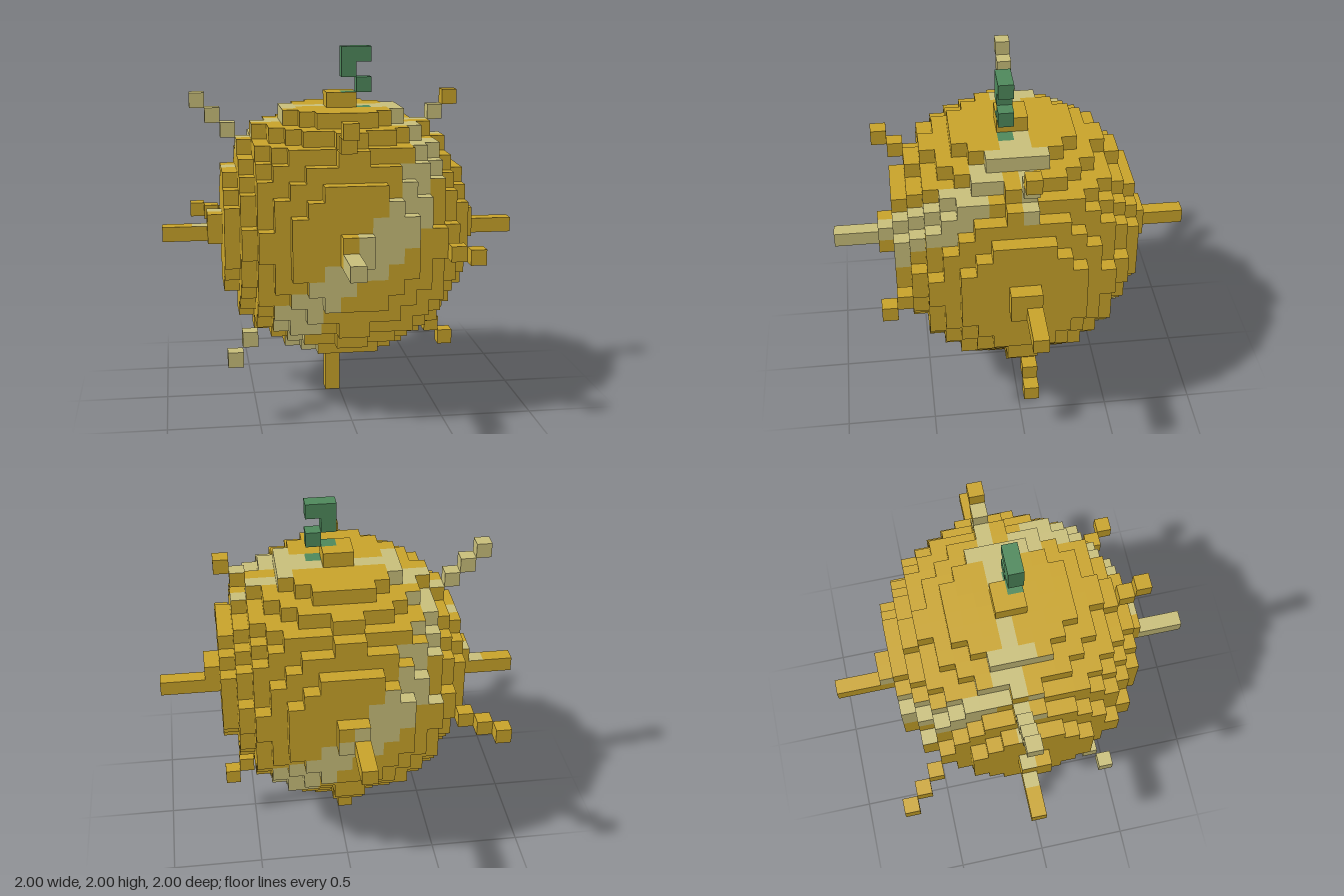
import * as THREE from 'three';

const CELL = 1 / 12; // 24 cells span the whole 2-unit model

const mat = (name, color) => Object.assign(new THREE.MeshStandardMaterial({ color }), { name });

// Paint maps: [row, first column, last column] of pale cells, one map per facing
const FRONT = [[7, 3, 3], [7, 6, 6], [6, 4, 4], [5, 4, 5], [4, 3, 5], [3, 3, 4], [2, 2, 4], [1, 1, 4], [0, 0, 3],
  [-1, -1, 2], [-2, -2, 1], [-3, -3, -1], [-4, -4, -2], [-5, -5, -3], [-6, -5, -3], [-7, -4, -4], [-8, -4, -3]];
const TOP = [[-8, -4, -4], [-7, -6, -5], [-6, -6, -6], [-5, -6, -6], [-4, -6, -6], [-3, -6, -6], [-2, -6, -4],
  [-2, 3, 3], [-1, -10, -2], [-1, 1, 6], [0, -4, -4], [0, 2, 3], [1, 3, 4], [2, 3, 5], [3, 4, 5], [4, 4, 5],
  [5, 4, 5], [6, 3, 4], [7, 2, 3], [8, 0, 0]];
const RIGHT = [[7, -2, 1], [6, 1, 2], [6, -1, -1], [5, 2, 4], [5, -1, -1], [4, 3, 5], [3, 4, 6], [2, 6, 7],
  [1, 7, 7], [0, 7, 8], [-4, -8, -8], [-5, -7, -7], [-6, -6, -6], [-7, -5, -5], [-8, -4, -3]];
const inMap = (map, row, col) => map.some(([r, a, b]) => r === row && col >= a && col <= b);

// Colour of one cell face; the far sides repeat the near ones turned half round
function paint([i, j, k], axis, sign) {
  if (axis === 1 && sign > 0) {
    if (k === 0 && (i === 0 || i === 1)) return 'green';
    return inMap(TOP, k, i) ? 'pale' : 'amber';
  }
  let pale;
  if (axis === 0) pale = inMap(RIGHT, j, sign > 0 ? k : -1 - k);
  else if (axis === 2) pale = inMap(FRONT, j, sign > 0 ? i : -1 - i);
  else {
    const centre = (k === 0 || k === -1) && i >= -4 && i <= 3;
    pale = centre || (k >= 0 ? inMap(TOP, k, -1 - i) : inMap(TOP, -1 - k, i));
  }
  return pale ? 'pale' : 'amber';
}

// Straight run of cells from a start cell
const run = (start, step, n) =>
  Array.from({ length: n }, (_, t) => start.map((v, a) => v + step[a] * t));

// Round body made of cells
function ball() {
  const cells = [];
  for (let i = -8; i < 8; i++) for (let j = -8; j < 8; j++) for (let k = -8; k < 8; k++) {
    if ((i + 0.5) ** 2 + (j + 0.5) ** 2 + (k + 0.5) ** 2 < 74) cells.push([i, j, k]);
  }
  return cells;
}

// Two-by-two knobs at the six poles
function knobs() {
  const cells = [];
  for (let a = 0; a < 3; a++) for (const level of [-9, 8])
    for (const u of [-1, 0]) for (const v of [-1, 0]) {
      const c = [0, 0, 0];
      c[a] = level; c[(a + 1) % 3] = u; c[(a + 2) % 3] = v;
      cells.push(c);
    }
  return cells;
}

export function createModel() {
  const mats = {
    amber: mat('amber', 0xc8a32a),
    pale: mat('pale straw', 0xc8be7a),
    green: mat('stem green', 0x4e885b),
  };

  // [name, cells, single colour if the whole part has one]
  const parts = [
    ['body', ball()],
    ['poleKnobs', knobs()],
    ['leftSpike', run([9, -1, -1], [1, 0, 0], 3)],
    ['rightSpike', run([-10, -1, -1], [-1, 0, 0], 3)],
    ['frontSpike', run([-1, -1, 9], [0, 0, 1], 3), 'pale'],
    ['backSpike', run([-1, -1, -10], [0, 0, -1], 3), 'amber'],
    ['bottomSpike', run([-1, -10, -1], [0, -1, 0], 3), 'amber'],
    ['upperRightThorn', run([-8, 6, -1], [-1, 1, 0], 3), 'pale'],
    ['upperLeftThorn', run([6, 7, -1], [1, 1, 0], 2)],
    ['lowerLeftThorn', run([6, -8, -1], [1, -1, 0], 2), 'amber'],
    ['backRightThorn', run([-8, -1, -7], [-1, 0, -1], 3), 'amber'],
    ['frontLeftThorn', run([6, -1, 7], [1, 0, 1], 2), 'amber'],
    ['upperFrontThorn', run([-1, 6, 7], [0, 1, 1], 2), 'amber'],
    ['lowerCornerThorn', run([-7, -7, 4], [-1, -1, 1], 2), 'pale'],
    ['stem', [[1, 9, 0], [0, 10, 0], [0, 11, 0], [1, 11, 0]], 'green'],
  ];
  const solid = new Set(parts.flatMap(([, cells]) => cells.map(String)));

  const model = new THREE.Group();
  model.name = 'spikyBall';
  for (const [name, cells, colour] of parts) {
    const group = new THREE.Group();
    group.name = name;
    const faces = { amber: [], pale: [], green: [] };
    // Only the exposed cell faces are built
    for (const c of cells) for (let a = 0; a < 3; a++) for (const s of [1, -1]) {
      const next = [...c];
      next[a] += s;
      if (solid.has(String(next))) continue;
      const quad = [[0, 0], [1, 0], [1, 1], [0, 1]].map(([u, v]) => {
        const p = [...c];
        p[a] += s > 0 ? 1 : 0;
        p[(a + 1) % 3] += u;
        p[(a + 2) % 3] += v;
        return [p[0] * CELL, p[1] * CELL + 1, p[2] * CELL];
      });
      if (s < 0) quad.reverse();
      const out = faces[colour ?? paint(c, a, s)];
      for (const n of [0, 1, 2, 0, 2, 3]) out.push(...quad[n]);
    }
    for (const [key, points] of Object.entries(faces)) {
      if (!points.length) continue;
      const geometry = new THREE.BufferGeometry();
      geometry.setAttribute('position', new THREE.Float32BufferAttribute(points, 3));
      geometry.computeVertexNormals();
      const mesh = new THREE.Mesh(geometry, mats[key]);
      mesh.name = `${name} ${mats[key].name}`;
      group.add(mesh);
    }
    model.add(group);
  }
  return model;
}
